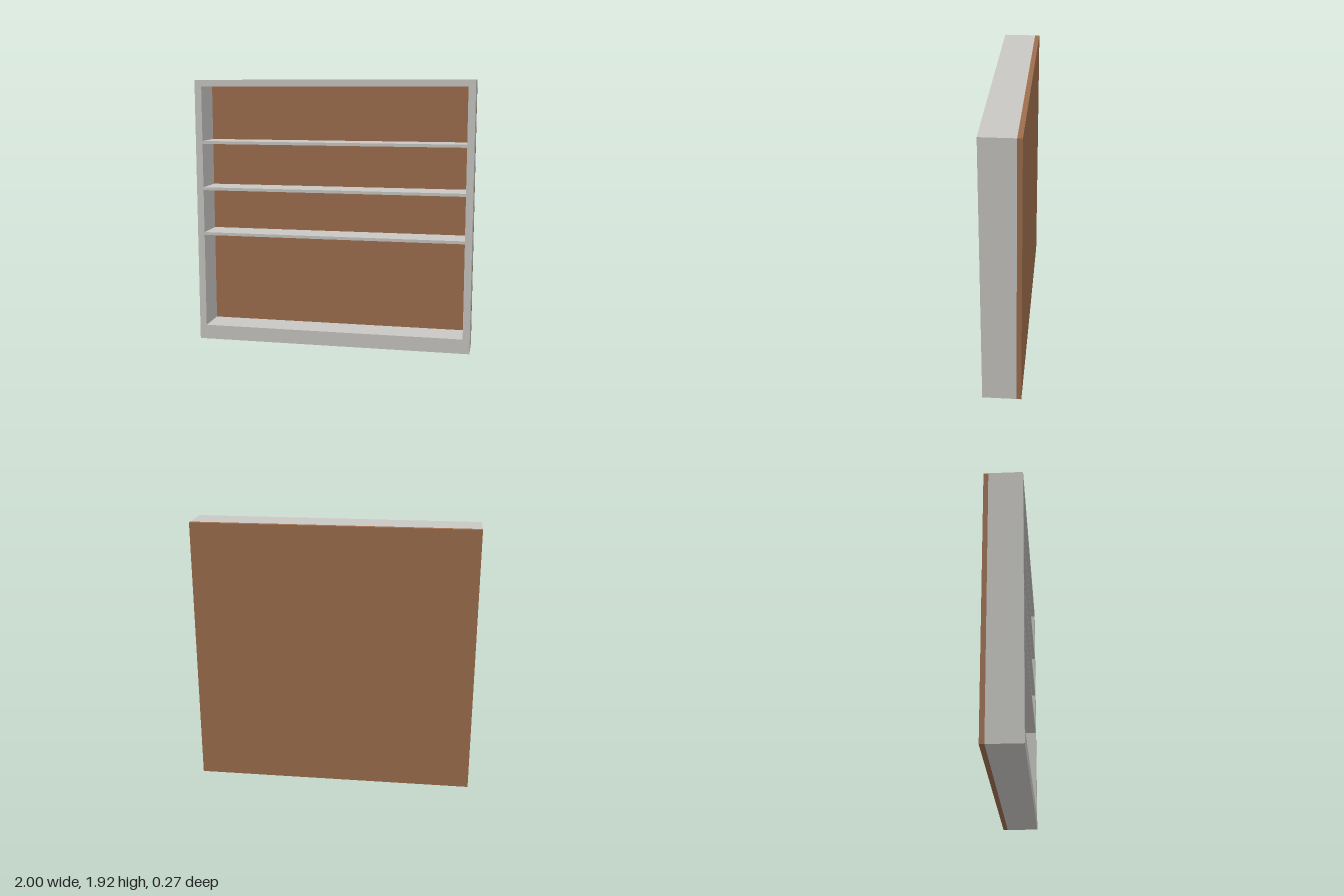
import * as THREE from 'three';

export function createModel() {
  const group = new THREE.Group();
  group.name = 'shelfUnit';

  const paint = new THREE.MeshStandardMaterial({ color: 0xc8c7c3 });
  paint.name = 'pale grey paint';
  const wood = new THREE.MeshStandardMaterial({ color: 0x9d6e4d });
  wood.name = 'brown wood';

  const height = 1.92, front = 0.133, panelFront = -0.1, inner = 0.95;

  // Box given by its lower and upper corners
  function box(name, material, [x0, y0, z0], [x1, y1, z1]) {
    const mesh = new THREE.Mesh(new THREE.BoxGeometry(x1 - x0, y1 - y0, z1 - z0), material);
    mesh.position.set((x0 + x1) / 2, (y0 + y1) / 2, (z0 + z1) / 2);
    mesh.name = name;
    group.add(mesh);
  }

  // Frame: one rectangle with a rectangular opening
  const outline = new THREE.Shape([
    new THREE.Vector2(-1, 0), new THREE.Vector2(1, 0),
    new THREE.Vector2(1, height), new THREE.Vector2(-1, height),
  ]);
  outline.holes.push(new THREE.Path([
    new THREE.Vector2(-inner, 0.105), new THREE.Vector2(-inner, 1.873),
    new THREE.Vector2(inner, 1.873), new THREE.Vector2(inner, 0.105),
  ]));
  const frame = new THREE.Mesh(
    new THREE.ExtrudeGeometry(outline, { depth: front - panelFront, bevelEnabled: false }), paint);
  frame.position.z = panelFront;
  frame.name = 'frame';
  group.add(frame);

  // Back panel
  box('backPanel', wood, [-1, 0, -front], [1, height, panelFront]);

  // Shelves, given by the height of their top faces
  [0.81, 1.143, 1.481].forEach((top, i) =>
    box(`shelf${i + 1}`, paint, [-inner, top - 0.021, panelFront], [inner, top, front - 0.002]));

  return group;
}
